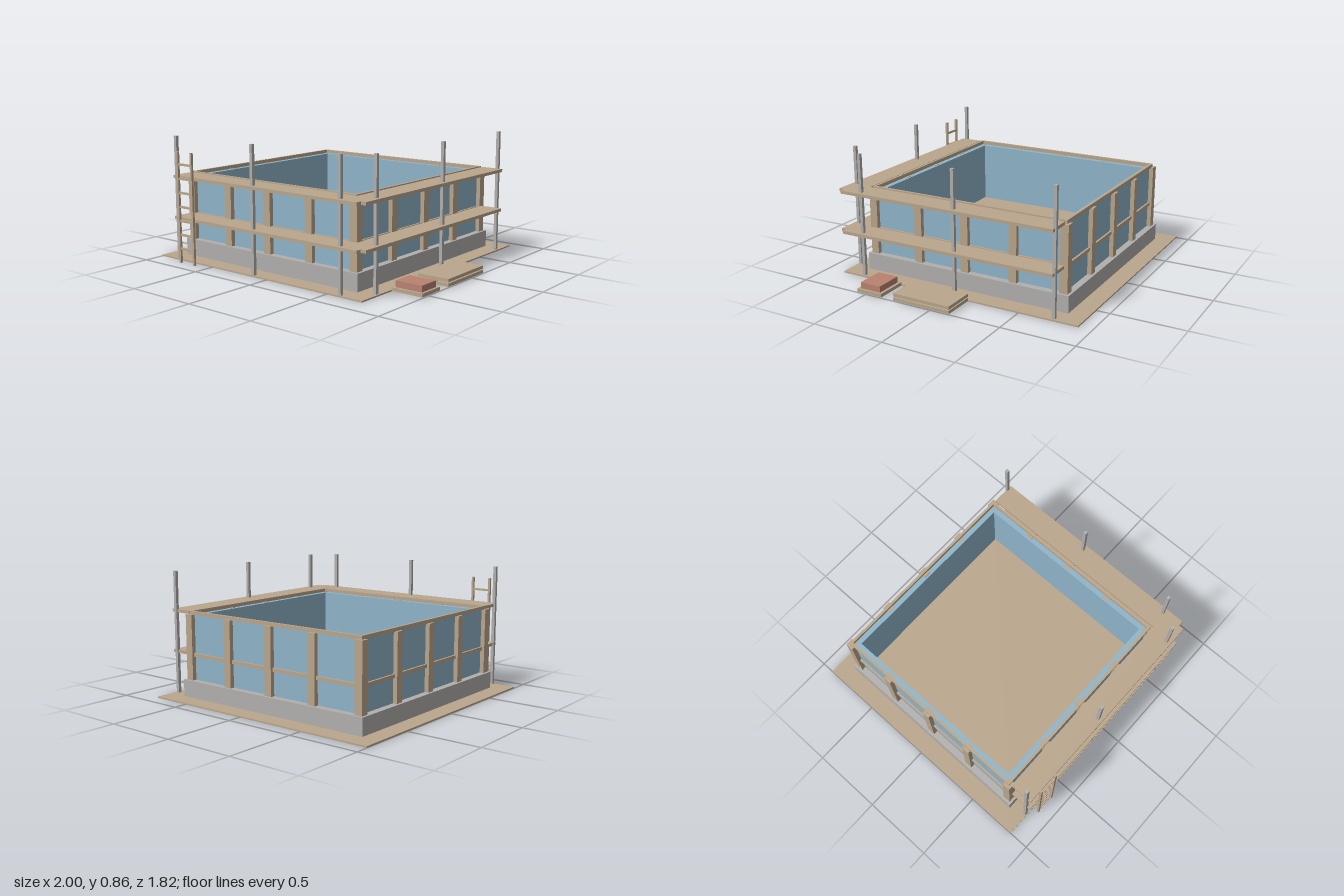
import * as THREE from 'three';

const mat = (name, color) => {
  const m = new THREE.MeshStandardMaterial({ color });
  m.name = name;
  return m;
};

export function createModel() {
  const timber = mat('timber', 0xbaa68c);
  const concrete = mat('concrete grey', 0xb2b0ae);
  const blue = mat('pool blue', 0x8fb5ca);
  const brick = mat('brick red', 0xba8371);

  const model = new THREE.Group();
  model.name = 'poolUnderConstruction';

  // Box given by its limits on each axis
  const box = (name, m, x0, x1, y0, y1, z0, z1, parent = model) => {
    const mesh = new THREE.Mesh(new THREE.BoxGeometry(x1 - x0, y1 - y0, z1 - z0), m);
    mesh.position.set((x0 + x1) / 2, (y0 + y1) / 2, (z0 + z1) / 2);
    mesh.name = name;
    parent.add(mesh);
  };
  const group = (name, parent = model) => {
    const g = new THREE.Group();
    g.name = name;
    parent.add(g);
    return g;
  };

  box('groundSlab', timber, -1, 0.772, 0, 0.01, -0.91, 0.857);

  // Square basin, built around its own centre
  const basin = group('basin');
  basin.position.set(-0.115, 0, -0.024);

  // Square frame with a square hole, extruded upward
  const square = (path, h) => path.moveTo(-h, -h).lineTo(h, -h).lineTo(h, h).lineTo(-h, h).closePath();
  const ring = (name, m, outer, inner, y0, y1) => {
    const shape = square(new THREE.Shape(), outer);
    shape.holes.push(square(new THREE.Path(), inner));
    const geo = new THREE.ExtrudeGeometry(shape, { depth: y1 - y0, bevelEnabled: false });
    geo.rotateX(-Math.PI / 2);
    const mesh = new THREE.Mesh(geo, m);
    mesh.position.y = y0;
    mesh.name = name;
    basin.add(mesh);
  };
  ring('plinth', concrete, 0.76, 0.69, 0.002, 0.126);
  ring('poolWall', blue, 0.713, 0.67, 0.12, 0.575);
  ring('middleRail', timber, 0.727, 0.71, 0.288, 0.312);
  ring('topRail', timber, 0.724, 0.706, 0.575, 0.6);
  box('basinFloor', timber, -0.675, 0.675, 0.012, 0.142, -0.675, 0.675, basin);

  // Uprights set into all four walls, each run starting with its corner
  const columns = group('columns', basin);
  for (let side = 0; side < 4; side++) {
    const wall = group('wallColumns', columns);
    wall.rotation.y = side * Math.PI / 2;
    for (const x of [-0.715, -0.357, 0, 0.357])
      box('column', timber, x - 0.028, x + 0.028, 0.124, 0.577, 0.687, 0.743, wall);
  }

  // Walkways on the front and on the +x side, two levels
  for (const y of [0.291, 0.575]) {
    const deck = group('walkway');
    box('frontBoards', timber, -0.83, 0.748, y, y + 0.021, 0.712, 0.876, deck);
    box('sideBoards', timber, 0.624, 0.787, y + 0.0005, y + 0.0215, -0.74, 0.837, deck);
  }

  // Scaffold poles
  const poles = [[-0.83, 0.842], [-0.117, 0.842], [0.6, 0.842], [0.75, -0.738], [0.75, -0.025], [0.75, 0.692]];
  for (const [x, z] of poles)
    box('scaffoldPole', concrete, x - 0.011, x + 0.011, 0.005, 0.86, z - 0.011, z + 0.011);

  // Ladder
  const ladder = group('ladder');
  for (const x of [-0.756, -0.622])
    box('ladderRail', timber, x - 0.008, x + 0.008, 0, 0.766, 0.89, 0.906, ladder);
  for (let i = 0; i < 7; i++) {
    const y = 0.1 + i * 0.0965;
    box('rung', timber, -0.75, -0.628, y - 0.007, y + 0.007, 0.891, 0.905, ladder);
  }

  // Stack of boards on a central runner
  const stack = group('boardStack');
  box('lowerBoards', timber, 0.774, 1, 0.005, 0.026, -0.14, 0.28, stack);
  box('runner', timber, 0.86, 0.91, 0.026, 0.034, -0.13, 0.27, stack);
  box('upperBoards', timber, 0.774, 1, 0.034, 0.055, -0.14, 0.28, stack);

  // Pallet of bricks
  const pallet = group('brickPallet');
  box('palletBase', timber, 0.774, 1, 0.005, 0.028, 0.375, 0.565, pallet);
  box('bricks', brick, 0.79, 0.983, 0.028, 0.07, 0.395, 0.547, pallet);

  return model;
}
